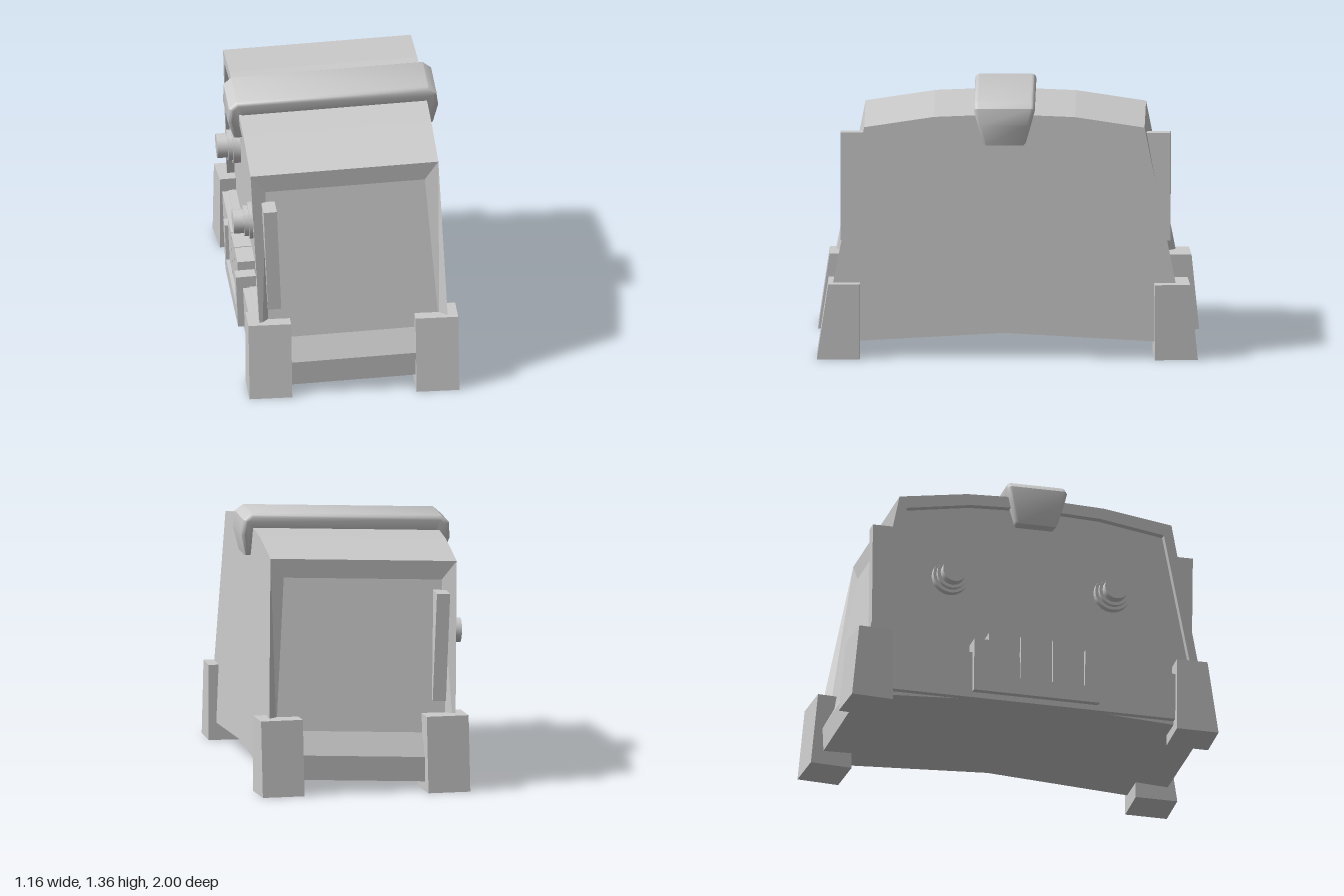
import * as THREE from 'three';
import { toCreasedNormals } from 'three/addons/utils/BufferGeometryUtils.js';

const flat = new THREE.MeshStandardMaterial({ color: 0xcccccc, flatShading: true, side: THREE.DoubleSide });
const smooth = new THREE.MeshStandardMaterial({ color: 0xcccccc });

function add(parent, name, geometry, material = flat) {
  const mesh = new THREE.Mesh(geometry, material);
  mesh.name = name;
  parent.add(mesh);
  return mesh;
}

// Box given by its minimum and maximum on each axis
function box(parent, name, [x0, x1], [y0, y1], [z0, z1]) {
  const mesh = add(parent, name, new THREE.BoxGeometry(x1 - x0, y1 - y0, z1 - z0));
  mesh.position.set((x0 + x1) / 2, (y0 + y1) / 2, (z0 + z1) / 2);
  return mesh;
}

// Quads between two matching rows of points
function loft(rowA, rowB, closed = false) {
  const pos = [];
  const n = rowA.length;
  for (let i = 0; i < (closed ? n : n - 1); i++) {
    const j = (i + 1) % n;
    pos.push(...rowA[i], ...rowB[i], ...rowB[j], ...rowA[i], ...rowB[j], ...rowA[j]);
  }
  const g = new THREE.BufferGeometry();
  g.setAttribute('position', new THREE.Float32BufferAttribute(pos, 3));
  g.computeVertexNormals();
  return g;
}

const W = 0.495; // half width of the body
// Side outlines as [z, y]
const roof = [[0.735, 1.21], [0.37, 1.265], [0, 1.28], [-0.37, 1.265], [-0.735, 1.21]];
const base = [[-0.935, 0.2], [-0.93, 0.07], [0, 0.122], [0.93, 0.07], [0.935, 0.2]];
const opening = [[0.86, 0.36], [0.695, 1.15], [0.35, 1.205], [0, 1.22],
  [-0.35, 1.205], [-0.695, 1.15], [-0.86, 0.36]];

const at = (x, pts) => pts.map(([z, y]) => [x, y, z]);
const vec = (pts) => pts.map(([z, y]) => new THREE.Vector2(z, y));

function buildBody(parent) {
  const body = new THREE.Group();
  body.name = 'body';
  parent.add(body);
  add(body, 'roof', loft(at(-W, roof), at(W, roof)));
  add(body, 'underside', loft(at(-W, base), at(W, base)));

  // Plain wall on the left
  const outline = vec([...roof, ...base]);
  add(body, 'plainWall', new THREE.ShapeGeometry(new THREE.Shape(outline)).rotateY(Math.PI / 2)).position.x = W;

  // Control side: rim, recess walls and sunken panel
  const rim = new THREE.Shape(outline);
  rim.holes.push(new THREE.Path(vec(opening)));
  add(body, 'controlRim', new THREE.ShapeGeometry(rim).rotateY(-Math.PI / 2)).position.x = -W;
  add(body, 'recessWalls', loft(at(-W, opening), at(-0.455, opening), true));
  add(body, 'controlPanel', new THREE.ShapeGeometry(new THREE.Shape(vec(opening)))
    .rotateY(-Math.PI / 2)).position.x = -0.455;

  // Shallow recessed end panels
  for (const s of [1, -1]) {
    const outer = [[-W, 1.21, s * 0.735], [W, 1.21, s * 0.735], [W, 0.2, s * 0.935], [-W, 0.2, s * 0.935]];
    const inner = [[-0.42, 1.11, s * 0.73], [0.42, 1.11, s * 0.73], [0.45, 0.32, s * 0.87], [-0.45, 0.32, s * 0.87]];
    add(body, 'endChamfer', loft(outer, inner, true));
    add(body, 'endPanel', loft([inner[0], inner[1]], [inner[3], inner[2]]));
    // Upright strip on the end panel
    const z = [s * 0.68, s * 0.865].sort((a, b) => a - b);
    box(body, 'endStrip', [-0.445, -0.375], [0.487, 1.057], z);
  }
}

// Carrying handle: a U section run across the depth, its ends narrowing downward
function buildHandle(parent) {
  const half = [[0.525, 1.118], [0.555, 1.23], [0.547, 1.315], [0.505, 1.35]];
  const inside = [[-0.46, 1.118], [-0.45, 1.25], [0.45, 1.25], [0.46, 1.118]];
  const pts = [...half, ...half.map(([x, y]) => [-x, y]).reverse(), ...inside];
  const bevel = 0.022;
  const depth = 0.32 - 2 * bevel;
  const g = new THREE.ExtrudeGeometry(new THREE.Shape(vec(pts)), {
    depth, bevelSize: bevel, bevelThickness: bevel, bevelOffset: -bevel, bevelSegments: 4,
  }).translate(0, 0, -depth / 2);
  const p = g.attributes.position;
  for (let i = 0; i < p.count; i++) {
    const drop = Math.max(0, 1.3 - p.getY(i));
    p.setZ(i, p.getZ(i) * (1 - drop * 1.75));
  }
  add(parent, 'handle', toCreasedNormals(g, 0.7), smooth);
}

// Stepped knobs on the control panel
function buildKnobs(parent) {
  for (const z of [-0.45, 0.425]) {
    const knob = new THREE.Group();
    knob.name = 'knob';
    knob.position.set(-0.455, 0.795, z);
    for (const [r, h] of [[0.098, 0.04], [0.082, 0.065], [0.065, 0.12]]) {
      const g = new THREE.CylinderGeometry(r, r, h, 20).rotateZ(Math.PI / 2).translate(-h / 2, 0, 0);
      add(knob, 'knobTier', toCreasedNormals(g, 0.7), smooth);
    }
    parent.add(knob);
  }
}

// Lower bar with a framed row of three keys
function buildKeys(parent) {
  box(parent, 'lowerBar', [-0.53, -0.46], [0.1, 0.355], [-0.86, 0.86]);
  box(parent, 'keySill', [-0.565, -0.46], [0.13, 0.22], [-0.34, 0.34]);
  for (const s of [-1, 1]) {
    box(parent, 'keyPost', [-0.565, -0.46], [0.13, 0.42], [s * 0.3 - 0.04, s * 0.3 + 0.04]);
  }
  for (const i of [-1, 0, 1]) {
    box(parent, 'key', [-0.547, -0.44], [0.2, 0.467], [i * 0.174 - 0.084, i * 0.174 + 0.084]);
  }
}

// Corner foot whose outer face leans inward toward the top
function buildFoot(parent, name, x, z, side, lean, turn) {
  const g = new THREE.BoxGeometry(0.225, 0.4, 0.225);
  const p = g.attributes.position;
  for (let i = 0; i < p.count; i++) {
    if (p.getY(i) > 0 && p.getZ(i) * side > 0) p.setZ(i, p.getZ(i) - side * lean);
  }
  const foot = add(parent, name, g);
  foot.position.set(x, 0.207, z);
  foot.rotation.y = turn;
}

export function createModel() {
  const model = new THREE.Group();
  model.name = 'portableRadio';

  // The case leans slightly to one side on its feet
  const upper = new THREE.Group();
  upper.name = 'case';
  upper.position.set(0.032, 0, 0.015);
  upper.rotation.z = 0.04;
  model.add(upper);
  buildBody(upper);
  buildHandle(upper);
  buildKnobs(upper);
  buildKeys(upper);

  for (const x of [-0.428, 0.452]) {
    buildFoot(model, 'frontFoot', x, 0.885, 1, 0.06, 0);
    buildFoot(model, 'backFoot', x + 0.008, -0.88, -1, 0.04, 0.07);
  }
  return model;
}
